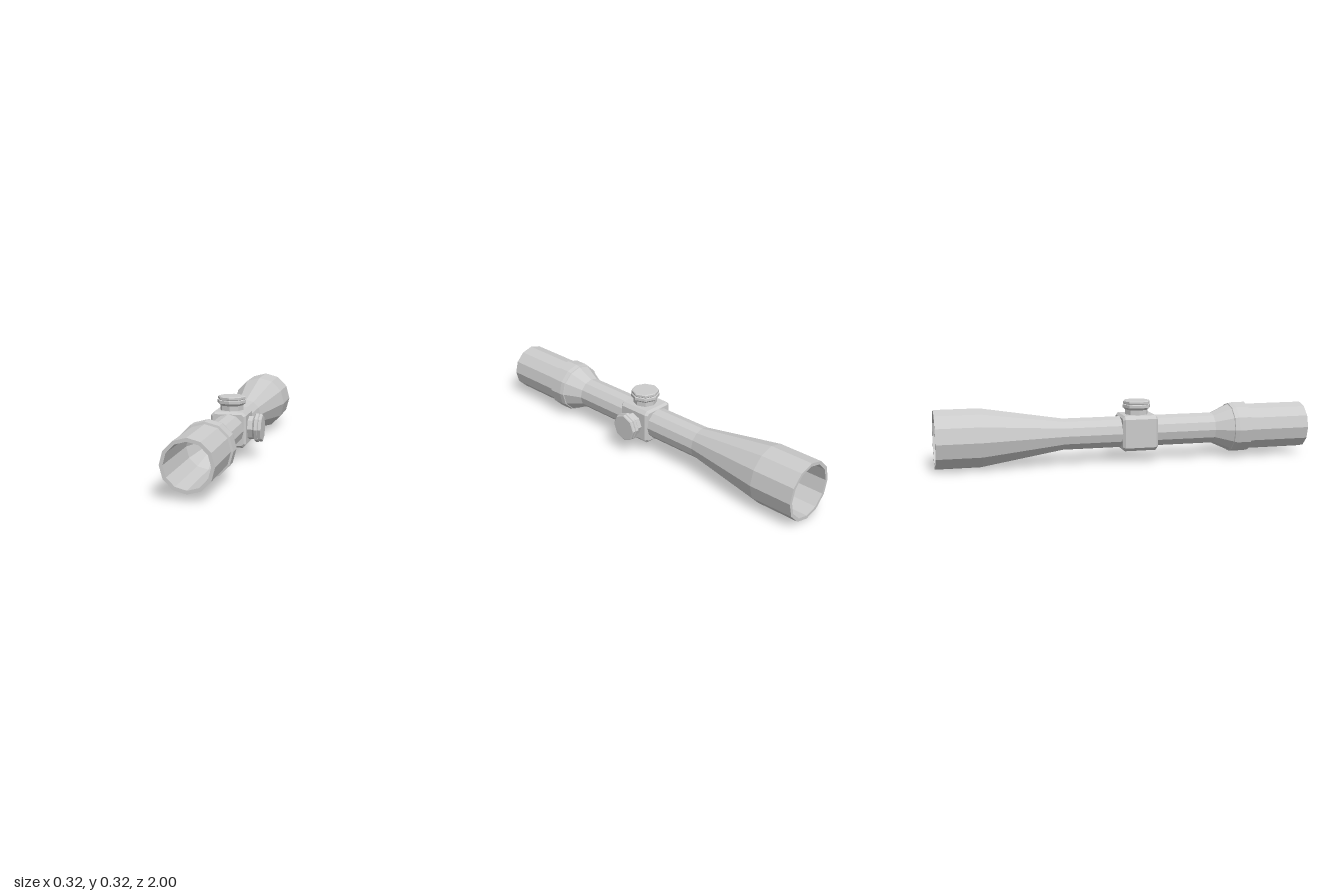
import * as THREE from 'three';
import { RoundedBoxGeometry } from 'three/addons/geometries/RoundedBoxGeometry.js';

const AXIS_X = -0.007, AXIS_Y = 0.154, TURRET_Z = 0.06;

const material = new THREE.MeshStandardMaterial({ color: 0xcccccc, flatShading: true });

// Faceted turned part from [radius, height] pairs
function turned(name, profile, sides) {
  const points = profile.map(([r, h]) => new THREE.Vector2(r, h));
  const mesh = new THREE.Mesh(new THREE.LatheGeometry(points, sides), material);
  mesh.name = name;
  return mesh;
}

export function createModel() {
  const scope = new THREE.Group();
  scope.name = 'scope';

  // Hollow tube: outer skin from rear to front, then the bore back again
  const tube = turned('tube', [
    [0.153, -1], [0.153, -0.77], [0.083, -0.34],
    [0.083, 0.48], [0.126, 0.575], [0.131, 0.577], [0.135, 0.6],
    [0.135, 0.67], [0.124, 0.672], [0.124, 1],
    [0.107, 1], [0.107, 0.6], [0.066, 0.48],
    [0.066, -0.34], [0.136, -0.77], [0.136, -1], [0.153, -1],
  ], 12);
  tube.rotation.x = Math.PI / 2;
  tube.position.set(AXIS_X, AXIS_Y, 0);
  scope.add(tube);

  // Chamfered turret block, built as four walls so the bore stays open
  const half = 0.093, c = 0.012, e = half - c;
  const outline = (s) => [
    [-s, -half], [s, -half], [half, -s], [half, s],
    [s, half], [-s, half], [-half, s], [-half, -s],
  ].map(([x, y]) => new THREE.Vector2(x, y));
  const shape = new THREE.Shape(outline(e).map((p) => p.multiplyScalar((half - c) / half)));
  const bore = new THREE.Path();
  for (let i = 0; i < 12; i++) {
    const a = -i * Math.PI / 6;
    const x = 0.07 * Math.cos(a), y = 0.07 * Math.sin(a);
    if (i === 0) bore.moveTo(x, y); else bore.lineTo(x, y);
  }
  bore.closePath();
  shape.holes.push(bore);
  const block = new THREE.Mesh(new THREE.ExtrudeGeometry(shape, {
    depth: 0.19 - 2 * c, bevelEnabled: true, bevelThickness: c,
    bevelSize: c, bevelSegments: 1,
  }), material);
  block.name = 'turretBlock';
  block.position.set(AXIS_X, AXIS_Y, TURRET_Z - 0.095 + c);
  scope.add(block);

  // Capped adjustment knobs on the top and left of the block
  const knobProfile = [
    [0.062, 0.088], [0.062, 0.118], [0.07, 0.126], [0.076, 0.13],
    [0.076, 0.145], [0.07, 0.148], [0.073, 0.151], [0.073, 0.162],
    [0.068, 0.166], [0, 0.166],
  ];
  for (const [name, angle] of [['topKnob', 0], ['sideKnob', -Math.PI / 2]]) {
    const knob = turned(name, knobProfile, 8);
    knob.rotation.z = angle;
    knob.position.set(AXIS_X, AXIS_Y, TURRET_Z);
    scope.add(knob);
  }
  return scope;
}
